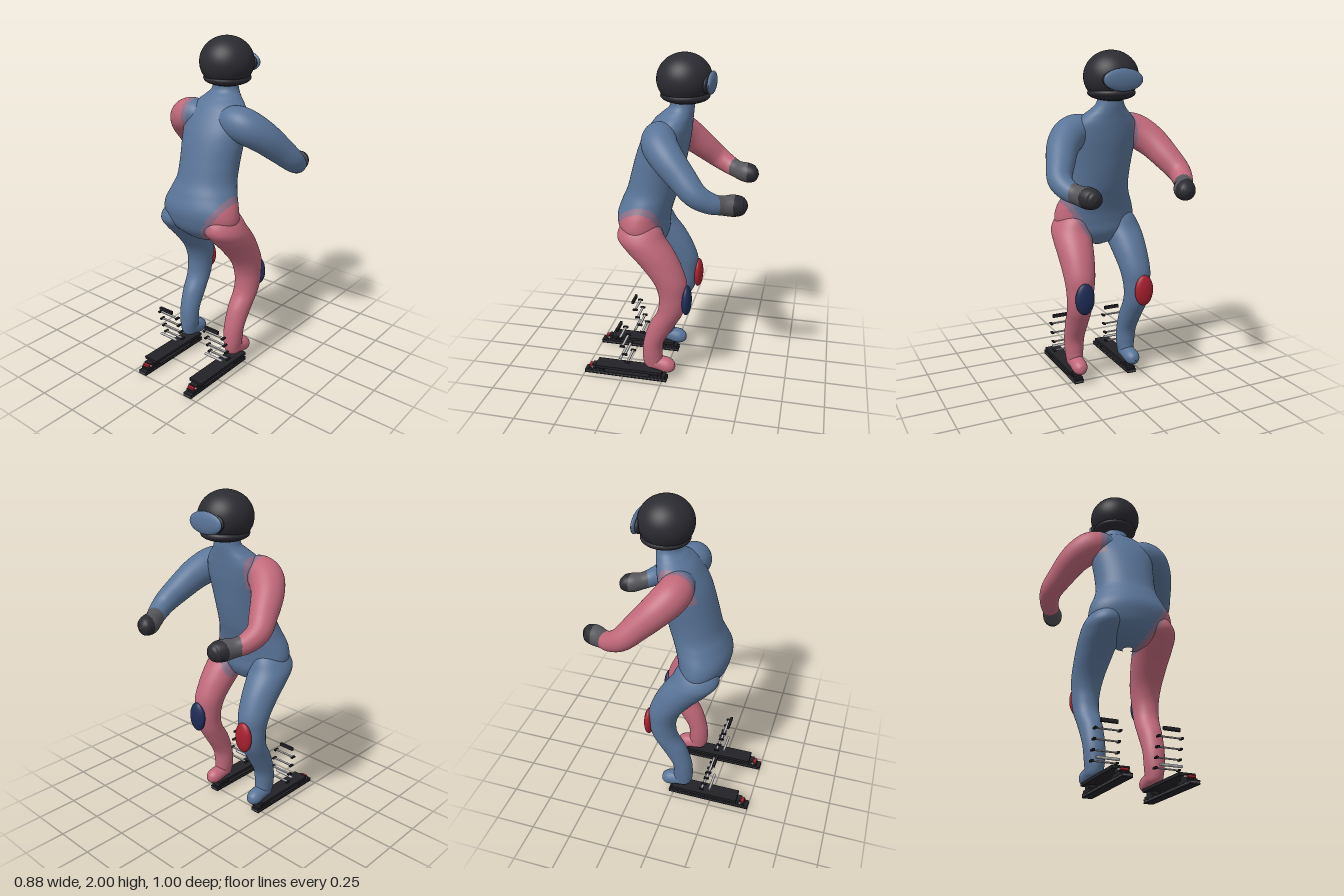
import * as THREE from 'three';

const material = (name, color) => Object.assign(new THREE.MeshStandardMaterial({ color }), { name });
const suit = material('suit blue', 0x5a7599);
const rose = material('suit rose', 0xc0687a);
const mauve = material('seam mauve', 0x8a6f88);
const dark = material('helmet charcoal', 0x2b2b32);
const cuff = material('cuff grey', 0x56565b);
const red = material('pad red', 0xa8202f);
const navy = material('pad navy', 0x1f2d57);
const silver = material('metal silver', 0xb8b8bc);
const black = material('binding black', 0x222227);

const V = (x, y, z) => new THREE.Vector3(x, y, z);

// Smoothly resample a short table of rows into n + 1 rows
function resample(rows, n) {
  const size = rows[0].length;
  const curve = new THREE.CubicInterpolant(rows.map((_, i) => i), rows.flat(), size, new Float32Array(size));
  return Array.from({ length: n + 1 }, (_, i) => Array.from(curve.evaluate((i / n) * (rows.length - 1))));
}

// Skin a list of rings {c, u, v}: centre and two half axes
function loft(rings, seg = 64) {
  const pos = [], index = [];
  rings.forEach(({ c, u, v }, i) => {
    for (let j = 0; j < seg; j++) {
      const a = (j / seg) * Math.PI * 2;
      const p = c.clone().addScaledVector(u, Math.cos(a)).addScaledVector(v, Math.sin(a));
      pos.push(p.x, p.y, p.z);
      if (i === rings.length - 1) continue;
      const k = (j + 1) % seg, lo = i * seg, hi = lo + seg;
      index.push(lo + j, hi + j, lo + k, lo + k, hi + j, hi + k);
    }
  });
  const g = new THREE.BufferGeometry();
  g.setAttribute('position', new THREE.Float32BufferAttribute(pos, 3));
  g.setIndex(index);
  g.computeVertexNormals();
  return g;
}

// Horizontal slices, upwards: [y, centre x, half width, front z, back z]
const slices = (rows, n) => loft(resample(rows, n).map(([y, x, rx, f, b]) => ({
  c: V(x, y, (f + b) / 2), u: V(Math.max(rx, 0.001), 0, 0), v: V(0, 0, Math.max((b - f) / 2, 0.001)),
})), 80);

// Round limb along a path: [x, y, z, radius]
function limb(rows, n) {
  const s = resample(rows, n), at = (i) => V(...s[Math.min(Math.max(i, 0), n)].slice(0, 3));
  return loft(s.map((row, i) => {
    const t = at(i + 1).sub(at(i - 1)).normalize(), r = Math.max(row[3], 0.001);
    const u = V(0, 1, 0).cross(t).normalize(), v = u.clone().cross(t);
    return { c: at(i), u: u.multiplyScalar(r), v: v.multiplyScalar(r) };
  }));
}

// Sort the triangles into material groups by a rule on their centre
function paint(geo, rule) {
  const p = geo.attributes.position, idx = geo.index.array, buckets = new Map();
  for (let i = 0; i < idx.length; i += 3) {
    const tri = [idx[i], idx[i + 1], idx[i + 2]], c = V(0, 0, 0);
    tri.forEach((k) => c.add(V(p.getX(k), p.getY(k), p.getZ(k))));
    const m = rule(c.divideScalar(3));
    if (!buckets.has(m)) buckets.set(m, []);
    buckets.get(m).push(...tri);
  }
  const all = [], mats = [...buckets.keys()];
  mats.forEach((m, k) => {
    geo.addGroup(all.length, buckets.get(m).length, k);
    for (const t of buckets.get(m)) all.push(t);
  });
  geo.setIndex(all);
  return [geo, mats];
}

// Colour rules: one leg and the opposite arm are rose, with mauve seams
function legColor({ x, y }) {
  const d = y - 0.86 - 1.7 * (x - 0.04);
  return d < -0.065 ? rose : d < 0 ? mauve : suit;
}
const sleeveColor = ({ x }) => (x < -0.175 ? rose : x < -0.14 ? mauve : suit);
const torsoColor = (c) => (c.y > 1.46 ? sleeveColor(c) : c.x > 0 ? legColor(c) : suit);
function armColor(c) {
  if (c.z < -0.43) return dark;
  if (c.z < -0.32 - 0.53 * (Math.abs(c.x) - 0.3)) return cuff;
  return sleeveColor(c);
}

export function createModel() {
  const model = new THREE.Group();
  model.name = 'skier';
  const add = (name, geo, mat, parent = model) => {
    const mesh = new THREE.Mesh(geo, mat);
    mesh.name = name;
    parent.add(mesh);
    return mesh;
  };
  const ellipsoid = (name, mat, c, r) => {
    const m = add(name, new THREE.SphereGeometry(1, 48, 32), mat);
    m.position.set(...c);
    m.scale.set(...r);
    return m;
  };
  const box = (name, mat, size, c, parent) => add(name, new THREE.BoxGeometry(...size), mat, parent).position.set(...c);

  // Torso and neck, leaning forward
  add('torso', ...paint(slices([
    [0.845, 0, 0.03, 0.07, 0.14], [0.87, 0, 0.13, 0.03, 0.2], [0.93, 0, 0.225, 0, 0.262],
    [1.0, 0, 0.255, -0.005, 0.29], [1.07, 0, 0.245, -0.015, 0.297], [1.15, 0, 0.21, -0.04, 0.27],
    [1.22, 0, 0.188, -0.065, 0.24], [1.32, 0, 0.187, -0.09, 0.213], [1.42, 0, 0.195, -0.11, 0.185],
    [1.5, 0, 0.2, -0.125, 0.155], [1.58, 0, 0.19, -0.135, 0.11], [1.63, 0, 0.155, -0.14, 0.075],
    [1.67, 0, 0.11, -0.145, 0.03], [1.71, 0, 0.08, -0.148, -0.01], [1.79, 0, 0.07, -0.145, -0.01],
  ], 130), torsoColor));

  // Helmet, rim and goggles
  ellipsoid('helmet', dark, [0, 1.855, -0.09], [0.157, 0.145, 0.157]);
  ellipsoid('helmetRim', dark, [0, 1.765, -0.095], [0.136, 0.045, 0.14]);
  ellipsoid('goggleFrame', dark, [0, 1.84, -0.222], [0.115, 0.06, 0.025]);
  ellipsoid('goggleLens', suit, [0, 1.84, -0.245], [0.12, 0.062, 0.022]);

  for (const s of [1, -1]) {
    const side = s > 0 ? 'left' : 'right';

    // Arm with cuff and glove
    add(side + 'Arm', ...paint(limb([
      [0.08, 1.555, 0.03, 0.07], [0.15, 1.55, 0.02, 0.095], [0.22, 1.525, 0, 0.1], [0.285, 1.47, -0.06, 0.092],
      [0.335, 1.39, -0.145, 0.08], [0.372, 1.315, -0.225, 0.068], [0.358, 1.27, -0.3, 0.058],
      [0.325, 1.25, -0.36, 0.053], [0.295, 1.243, -0.42, 0.06], [0.282, 1.24, -0.465, 0.052],
      [0.28, 1.24, -0.488, 0.032], [0.28, 1.24, -0.5, 0.001],
    ].map(([x, ...rest]) => [s * x, ...rest]), 110), armColor));

    // Leg, bent at the knee
    add(side + 'Leg', ...paint(slices([
      [0.08, 0.178, 0.005, 0.05, 0.07], [0.1, 0.178, 0.04, 0.015, 0.105], [0.14, 0.178, 0.05, 0, 0.12],
      [0.2, 0.178, 0.058, 0, 0.122], [0.28, 0.18, 0.062, -0.012, 0.113], [0.39, 0.183, 0.068, -0.075, 0.08],
      [0.48, 0.188, 0.073, -0.125, 0.03], [0.55, 0.19, 0.077, -0.145, 0.015], [0.62, 0.188, 0.083, -0.15, 0.02],
      [0.7, 0.185, 0.093, -0.148, 0.055], [0.8, 0.178, 0.105, -0.11, 0.137], [0.88, 0.172, 0.114, -0.065, 0.215],
      [0.95, 0.162, 0.117, -0.015, 0.268], [1.02, 0.15, 0.09, 0.02, 0.25], [1.08, 0.14, 0.03, 0.08, 0.18],
    ].map(([y, x, ...rest]) => [y, s * x, ...rest]), 130), s > 0 ? legColor : () => suit));
    add(side + 'Foot', limb([
      [0.178, 0.14, 0.1, 0.005], [0.178, 0.132, 0.075, 0.042], [0.178, 0.118, 0.01, 0.047],
      [0.18, 0.108, -0.04, 0.046], [0.18, 0.105, -0.072, 0.028], [0.18, 0.105, -0.083, 0.001],
    ].map(([x, ...rest]) => [s * x, ...rest]), 50), s > 0 ? rose : suit);
    ellipsoid(side + 'KneePad', s > 0 ? navy : red, [s * 0.195, 0.585, -0.152], [0.06, 0.095, 0.03]);

    // Short ski with raised plate and binding blocks
    const ski = new THREE.Group();
    ski.name = side + 'Ski';
    ski.position.x = s * 0.182;
    model.add(ski);
    box('skiBase', black, [0.058, 0.008, 0.53], [0, 0.004, 0.235], ski);
    box('skiCore', cuff, [0.054, 0.006, 0.53], [0, 0.011, 0.235], ski);
    box('skiTop', black, [0.058, 0.008, 0.53], [0, 0.018, 0.235], ski);
    box('plate', black, [0.095, 0.018, 0.43], [0, 0.064, 0.21], ski);
    for (const z of [0.03, 0.425]) {
      box('bindingFoot', black, [0.055, 0.014, 0.1], [0, 0.028, z], ski);
      box('bindingBlock', black, [0.05, 0.025, 0.055], [0, 0.046, z], ski);
    }
    box('releaseTab', red, [0.042, 0.012, 0.034], [0, 0.046, 0.455], ski);
    const rod = (name, length, r, y, z) => {
      const m = add(name, new THREE.CylinderGeometry(r, r, length, 16), silver, ski);
      m.rotation.z = Math.PI / 2;
      m.position.set(0, y, z);
    };
    rod('tabPin', 0.064, 0.006, 0.046, 0.45);

    // Row of buckle bars behind the shin
    [[0.305, 0.25], [0.25, 0.235], [0.195, 0.22], [0.142, 0.205]].forEach(([y, z]) => {
      box('buckleBar', silver, [0.13, 0.006, 0.014], [0, y, z], ski);
      for (const e of [-1, 1]) box('buckleEnd', black, [0.014, 0.01, 0.032], [e * 0.07, y, z], ski);
    });
    rod('bucklePin', 0.13, 0.008, 0.15, 0.255);
    box('buckleTop', black, [0.1, 0.02, 0.015], [0, 0.345, 0.272], ski);
  }
  return model;
}
